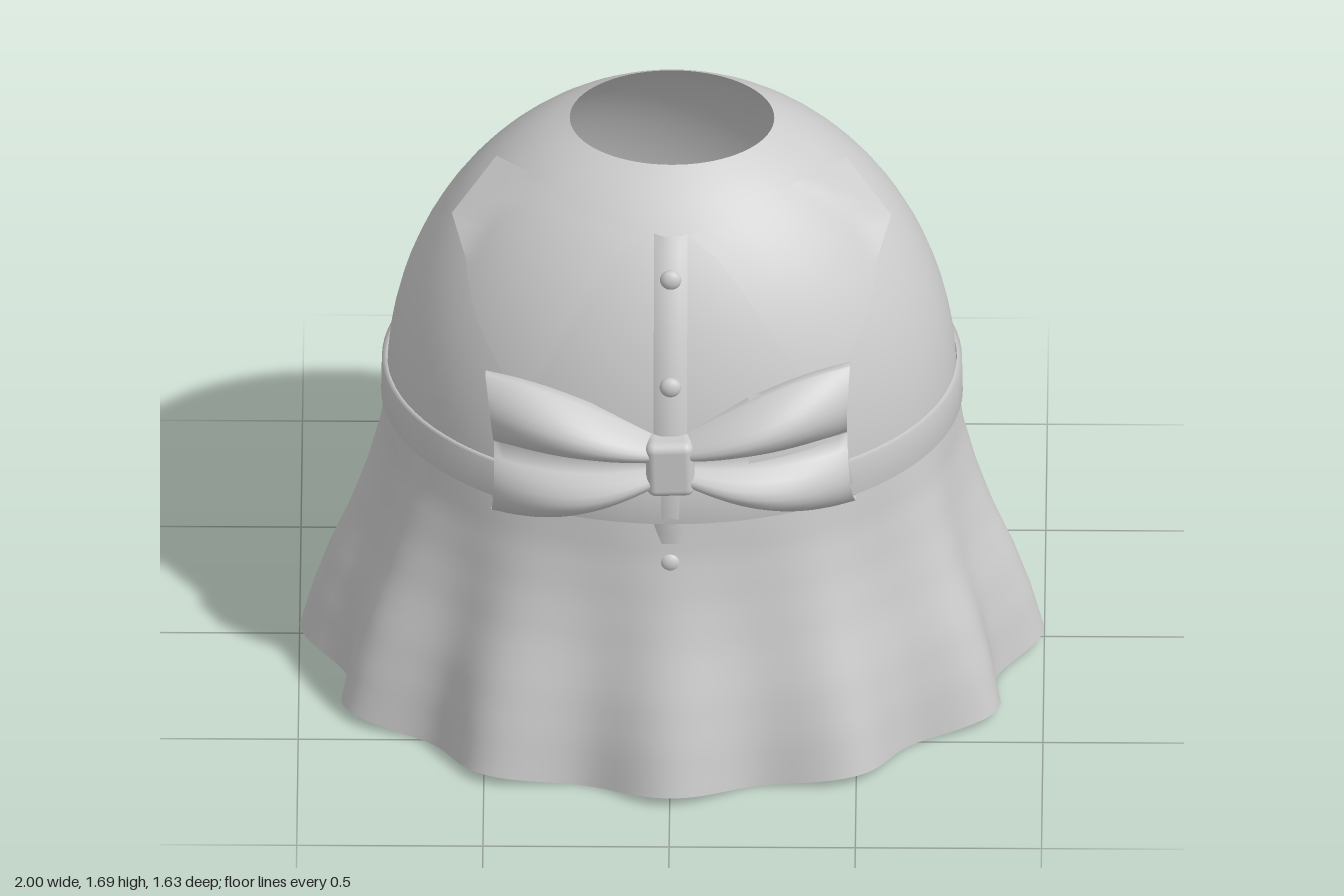
import * as THREE from 'three';
import { RoundedBoxGeometry } from 'three/addons/geometries/RoundedBoxGeometry.js';

const cloth = new THREE.MeshStandardMaterial({ color: 0xcccccc, side: THREE.DoubleSide });
cloth.name = 'light grey cloth';

// Egg-shaped body: half widths in x and z, centre height, half height
const RX = 0.765, RZ = 0.62, CY = 0.85, RY = 0.9;
const girth = y => Math.sqrt(Math.max(0, 1 - ((y - CY) / RY) ** 2));
const frontZ = (x, y) => RZ * Math.sqrt(Math.max(0, girth(y) ** 2 - (x / RX) ** 2));

// Smooth sheet from a rule (u, v) -> [x, y, z]; welded where closed in u
function sheet(nu, nv, rule, closed = false) {
  const pos = [], idx = [], cols = closed ? nu : nu + 1;
  for (let j = 0; j <= nv; j++)
    for (let i = 0; i < cols; i++) pos.push(...rule(i / nu, j / nv));
  for (let j = 0; j < nv; j++)
    for (let i = 0; i < nu; i++) {
      const a = j * cols + i, b = j * cols + (i + 1) % cols;
      idx.push(a, b, b + cols, a, b + cols, a + cols);
    }
  const g = new THREE.BufferGeometry();
  g.setAttribute('position', new THREE.Float32BufferAttribute(pos, 3));
  g.setIndex(idx);
  g.computeVertexNormals();
  return g;
}

// Point along a polyline of arrays
function along(points, t) {
  const s = t * (points.length - 1), i = Math.min(points.length - 2, Math.floor(s));
  return points[i].map((p, k) => p + (points[i + 1][k] - p) * (s - i));
}

// Moves a point outwards until it clears the body
function clear([x, y, z], gap = 1.03) {
  const d = Math.hypot(x / RX, z / RZ), f = Math.max(1, girth(y) * gap / d);
  return [x * f, y, z * f];
}

export function createModel() {
  const group = new THREE.Group();
  const add = (name, geometry, parent = group) => {
    const mesh = new THREE.Mesh(geometry, cloth);
    mesh.name = name;
    parent.add(mesh);
    return mesh;
  };

  // Body with an open neck and a rounded underside
  const a1 = Math.asin((1.69 - CY) / RY), a0 = -Math.PI / 2;
  add('bodice', sheet(72, 40, (u, v) => {
    const t = u * Math.PI * 2, a = a0 + (a1 - a0) * v;
    const h = Math.sin(a) * (a < 0 ? 0.82 : RY);
    return [RX * Math.cos(a) * Math.sin(t), CY + h, RZ * Math.cos(a) * Math.cos(t)];
  }, true));

  // Skirt flaring into twelve folds
  const flare = [[0], [0.02], [0.055], [0.1], [0.155], [0.2], [0.235]];
  add('skirt', sheet(192, 24, (u, v) => {
    const t = u * Math.PI * 2, down = 1 - v;
    const wave = (1 - Math.cos(12 * t)) / 2;
    const out = along(flare, down)[0] - 0.095 * wave * down ** 1.3;
    const y = 0.82 - down * (0.79 + 0.03 * wave);
    return [(RX + out) * Math.sin(t), y, (RZ + out * 0.83) * Math.cos(t)];
  }, true));

  // Waistband
  const band = [[0.0, 0.8], [0.016, 0.802], [0.014, 0.91], [0.0, 0.912]];
  add('waistband', sheet(96, 3, (u, v) => {
    const t = u * Math.PI * 2, [o, y] = band[Math.round(v * 3)];
    return [(RX + o) * Math.sin(t), y, (RZ + o) * Math.cos(t)];
  }, true));

  // Wide collar, one lapel for each side
  const inner = [[0.045, 1.57, 0.38], [0.12, 1.52, 0.4], [0.22, 1.4, 0.47], [0.3, 1.28, 0.5], [0.36, 1.17, 0.52]];
  const outer = [[0.47, 1.64, 0.11], [0.59, 1.48, 0.15], [0.545, 1.38, 0.26], [0.5, 1.28, 0.36], [0.44, 1.17, 0.47]];
  for (const s of [-1, 1])
    add(s > 0 ? 'leftCollar' : 'rightCollar', sheet(12, 24, (u, v) => {
      const a = along(inner, v), b = along(outer, v);
      const [x, y, z] = clear(a.map((p, k) => p + (b[k] - p) * u));
      return [s * x, y, z];
    }));

  // Button strip down the front
  add('placket', sheet(4, 24, (u, v) => {
    const edge = u === 0 || u === 1, x = (u - 0.5) * 0.09, y = 0.73 + 0.84 * v;
    return [x, y, frontZ(x, y) + (edge ? 0.004 : 0.016)];
  }));
  for (const y of [1.48, 1.215, 0.675]) {
    const button = add('button', new THREE.SphereGeometry(0.029, 20, 14));
    button.position.set(0, y, frontZ(0, y) + 0.02);
    button.scale.z = 0.7;
  }

  // Small flap behind the bow
  add('flap', sheet(8, 6, (u, v) => {
    const x = 0.21 + 0.29 * u, y = 0.95 + 0.23 * v;
    return [x, y, frontZ(x, y) + 0.022];
  }));

  // Large front bow: pleated wings and a knot
  const bow = new THREE.Group();
  bow.name = 'frontBow';
  bow.position.set(0, 0.99, 0);
  bow.rotation.z = 0.035;
  group.add(bow);
  for (const s of [-1, 1]) {
    add(s > 0 ? 'leftWing' : 'rightWing', sheet(48, 20, (u, v) => {
      const t = u * Math.PI * 2, w = Math.sin(t), front = Math.cos(t) >= 0;
      const half = 0.075 + 0.145 * Math.sin(Math.min(1, v * 1.08) * Math.PI / 2);
      const puff = 0.03 + 0.075 * Math.sin(Math.PI * Math.min(1, 0.12 + v * 0.72));
      const pleat = Math.abs(Math.sin(Math.PI * w)) ** 0.8;
      const base = 0.585 - 0.1 * v * v;
      const z = base + (front ? 0.012 + puff * pleat : -0.012 + 0.45 * puff * pleat * v);
      const x = 0.03 + 0.46 * v - 0.015 * (1 - w * w) * v;
      return [s * x, half * w, z];
    }, true), bow);
  }
  const knot = add('knot', new RoundedBoxGeometry(0.13, 0.17, 0.09, 4, 0.025), bow);
  knot.position.z = 0.622;

  // Small back bow
  const backBow = new THREE.Group();
  backBow.name = 'backBow';
  backBow.position.set(0, 0.87, -0.655);
  group.add(backBow);
  for (const s of [-1, 1]) {
    const lobe = add('backLobe', new THREE.SphereGeometry(1, 28, 18), backBow);
    lobe.scale.set(0.1, 0.066, 0.044);
    lobe.position.x = s * 0.115;
    lobe.rotation.z = s * 0.1;
  }
  const backKnot = add('backKnot', new THREE.SphereGeometry(1, 20, 14), backBow);
  backKnot.scale.set(0.038, 0.045, 0.035);
  backKnot.position.z = -0.015;

  return group;
}
